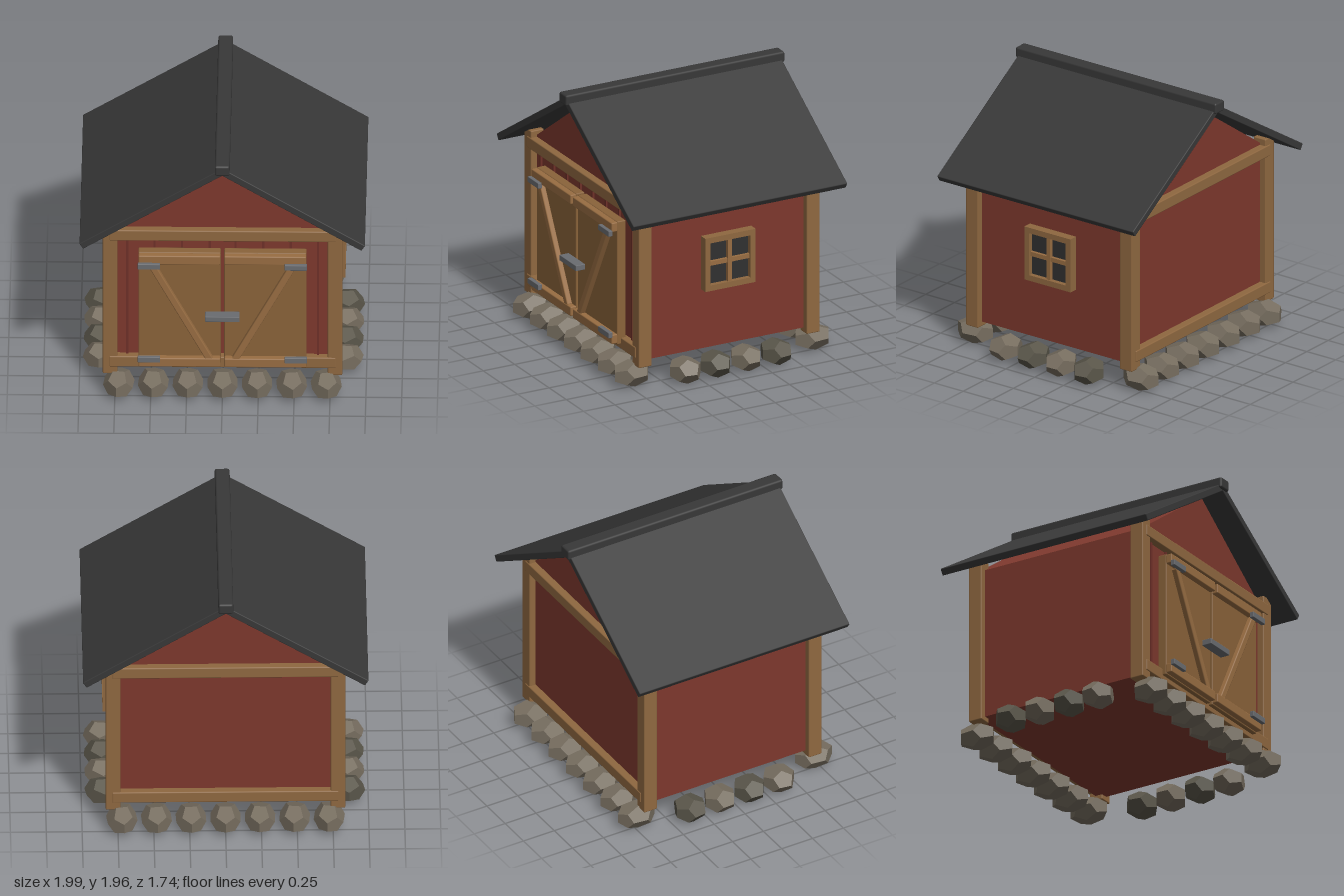
import * as THREE from 'three';
import { RoundedBoxGeometry } from 'three/addons/geometries/RoundedBoxGeometry.js';

const mat = (color, flatShading = false) => new THREE.MeshStandardMaterial({ color, flatShading });
const red = mat(0x7d382d);
const darkRed = mat(0x6e3028);
const wood = mat(0x8f6840);
const doorWood = mat(0x8a633a);
const lightWood = mat(0x986d42);
const slate = mat(0x383838);
const glass = mat(0x303030);
const iron = mat(0x6a6c70);
const stones = [mat(0x766d5f, true), mat(0x5a564a, true)];

function add(parent, name, geometry, material, x, y, z) {
  const mesh = new THREE.Mesh(geometry, material);
  mesh.name = name;
  mesh.position.set(x, y, z);
  parent.add(mesh);
  return mesh;
}

// Box with slightly softened edges, placed by its centre
function block(parent, name, material, w, h, d, x, y, z, r = 0.008) {
  return add(parent, name, new RoundedBoxGeometry(w, h, d, 1, r), material, x, y, z);
}

function group(parent, name) {
  const g = new THREE.Group();
  g.name = name;
  parent.add(g);
  return g;
}

// Walls and gables as one extruded house profile
function buildWalls(root) {
  const profile = new THREE.Shape([
    new THREE.Vector2(-0.785, 0.195), new THREE.Vector2(0.785, 0.195),
    new THREE.Vector2(0.785, 1.32), new THREE.Vector2(0, 1.87), new THREE.Vector2(-0.785, 1.32),
  ]);
  add(root, 'walls', new THREE.ExtrudeGeometry(profile, { depth: 1.34, bevelEnabled: false }), red, 0, 0, -0.67);
  for (const x of [0.09, 0.283, 0.475, 0.665]) {
    for (const s of [-1, 1]) {
      add(root, 'wallStrip', new THREE.BoxGeometry(0.016, 1.06, 0.02), darkRed, s * x, 0.73, 0.675);
    }
  }
}

// Corner posts and the beams across front and back
function buildFrame(root) {
  for (const sz of [-1, 1]) {
    for (const sx of [-1, 1]) {
      block(root, 'cornerPost', wood, 0.102, 1.23, 0.105, sx * 0.784, 0.775, sz * 0.667);
    }
    block(root, 'upperBeam', wood, 1.58, 0.085, 0.085, 0, 1.298, sz * 0.683);
    block(root, 'lowerBeam', wood, 1.58, 0.085, 0.085, 0, 0.263, sz * 0.683);
  }
}

// One of the two barn doors; s is the side it hangs on
function buildDoor(root, s) {
  const door = group(root, s > 0 ? 'leftDoor' : 'rightDoor');
  const cx = s * 0.299;
  block(door, 'doorPanel', doorWood, 0.574, 0.925, 0.07, cx, 0.72, 0.721);
  for (const y of [1.143, 0.303]) {
    block(door, 'doorBatten', lightWood, 0.572, 0.07, 0.05, cx, y, 0.774);
  }
  // Diagonal brace
  const top = new THREE.Vector2(s * 0.495, 1.1), low = new THREE.Vector2(s * 0.088, 0.325);
  const run = low.clone().sub(top);
  const brace = block(door, 'doorBrace', lightWood, 0.05, run.length(), 0.042,
    (top.x + low.x) / 2, (top.y + low.y) / 2, 0.774);
  brace.rotation.z = Math.atan2(run.x, -run.y);
  for (const y of [1.103, 0.34]) {
    block(door, 'hinge', iron, 0.155, 0.042, 0.032, s * 0.512, y, 0.81, 0.004);
  }
}

// Four-pane window on the left wall
function buildWindow(root) {
  const win = group(root, 'window');
  win.position.set(0.815, 0.84, 0);
  add(win, 'glass', new THREE.BoxGeometry(0.03, 0.36, 0.36), glass, -0.015, 0, 0);
  for (const s of [-1, 1]) {
    add(win, 'frameRail', new THREE.BoxGeometry(0.07, 0.042, 0.4), wood, 0, s * 0.179, 0);
    add(win, 'frameStile', new THREE.BoxGeometry(0.07, 0.32, 0.042), wood, 0, 0, s * 0.179);
  }
  add(win, 'verticalBar', new THREE.BoxGeometry(0.05, 0.32, 0.032), lightWood, 0, 0, 0);
  add(win, 'horizontalBar', new THREE.BoxGeometry(0.046, 0.032, 0.32), lightWood, 0, 0, 0);
}

// Two sloped panels and the ridge cap
function buildRoof(root) {
  const roof = group(root, 'roof');
  for (const s of [-1, 1]) {
    const panel = block(roof, 'roofPanel', slate, 1.175, 0.05, 1.7, s * 0.486, 1.597, 0, 0.006);
    panel.rotation.z = -s * 0.56;
  }
  block(roof, 'ridgeCap', slate, 0.104, 0.08, 1.74, 0, 1.92, 0, 0.014);
}

// Rows of foundation stones around the base
function buildStones(root) {
  const base = group(root, 'foundation');
  const stone = (i, x, z, sx, sz, turn) => {
    const geo = new THREE.DodecahedronGeometry(1);
    geo.rotateY(turn);
    geo.scale(sx, 0.096, sz);
    add(base, 'stone', geo, stones[i % 2], x, 0.09, z);
  };
  for (const s of [-1, 1]) {
    for (let i = 0; i < 7; i++) stone(0, (i - 3) * 0.241, s * 0.718, 0.112, 0.152, (i - 3) * 0.05);
    for (let i = 0; i < 4; i++) stone(i, s * 0.85, 0.36 - i * 0.24, 0.132, 0.122, 0.1 * i - 0.15);
  }
}

export function createModel() {
  const root = new THREE.Group();
  root.name = 'shed';
  buildWalls(root);
  buildFrame(root);
  for (const s of [-1, 1]) buildDoor(root, s);
  block(root, 'latch', iron, 0.24, 0.042, 0.075, 0, 0.68, 0.792, 0.004);
  buildWindow(root);
  buildRoof(root);
  buildStones(root);
  return root;
}
